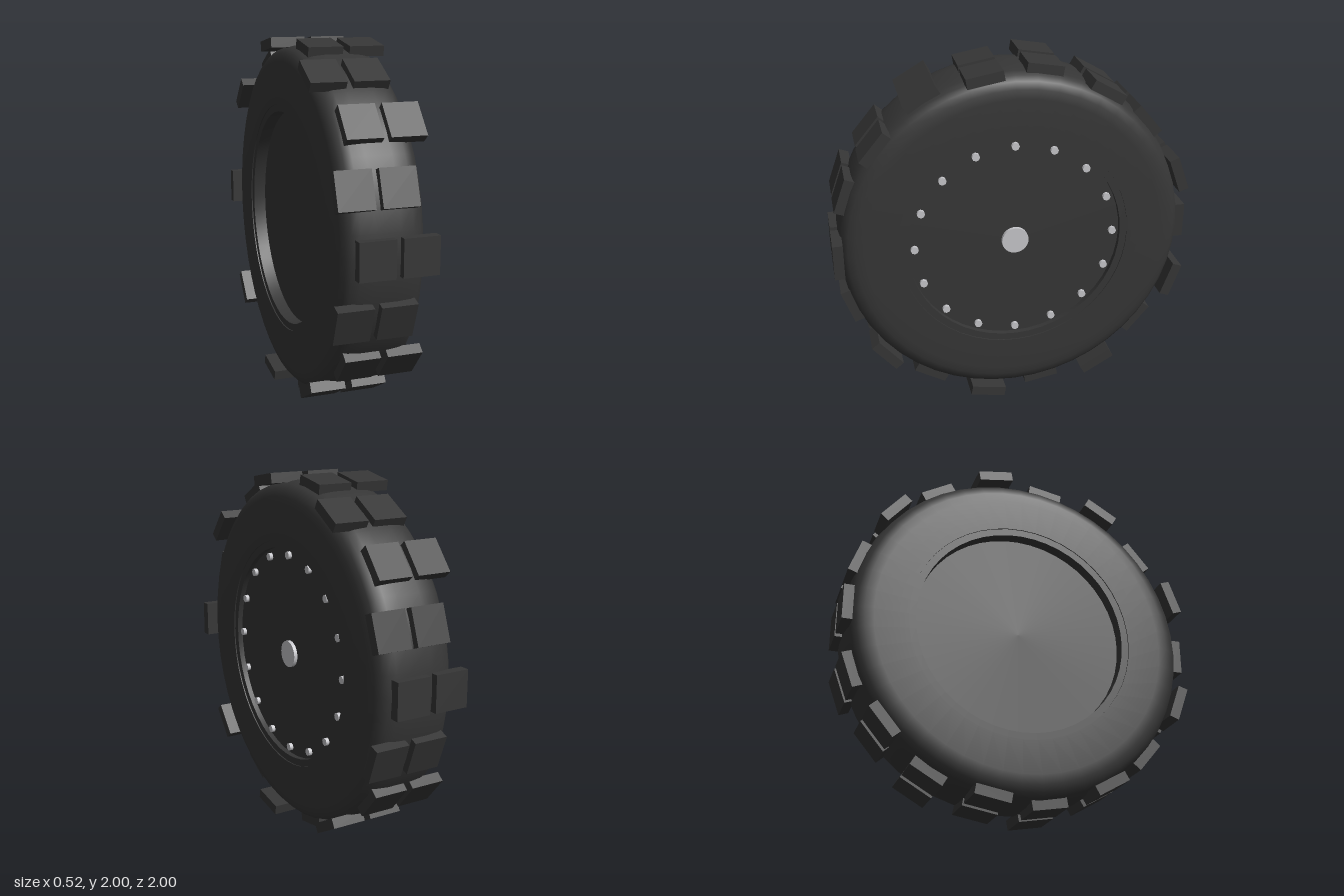
import * as THREE from 'three';
import { toCreasedNormals } from 'three/addons/utils/BufferGeometryUtils.js';

const rubber = new THREE.MeshStandardMaterial({ name: 'dark rubber', color: 0x363636 });
const metal = new THREE.MeshStandardMaterial({ name: 'light metal', color: 0xc6c6ca });

// Revolves [radius, x] points around the axle, keeping hard corners sharp
function revolve(name, points, material) {
  const lathe = new THREE.LatheGeometry(points.map(([r, x]) => new THREE.Vector2(r, x)), 48);
  lathe.rotateZ(-Math.PI / 2);
  const mesh = new THREE.Mesh(toCreasedNormals(lathe, 0.75), material);
  mesh.name = name;
  return mesh;
}

export function createModel() {
  const model = new THREE.Group();
  model.name = 'wheel';
  const wheel = new THREE.Group();
  wheel.name = 'wheelAssembly';
  wheel.position.y = 1;
  model.add(wheel);

  // Tyre carcass: flat sidewalls with rounded shoulders
  const half = [[0.64, 0.215], [0.64, 0.226], [0.83, 0.226], [0.88, 0.221], [0.92, 0.207],
    [0.945, 0.182], [0.958, 0.14], [0.965, 0.07]];
  const left = [...half].reverse();
  wheel.add(revolve('tyre', [...half.map(([r, x]) => [r, -x]), ...left], rubber));

  // Rim: shallow dish outside, deeper recess inside
  wheel.add(revolve('rim', [[0, -0.15], [0.6, -0.15], [0.6, -0.22], [0.645, -0.22]], rubber));
  wheel.add(revolve('hubPlate', [[0.645, 0.22], [0.6, 0.22], [0.6, 0.19], [0, 0.19]], rubber));

  // Tread: staggered pairs of blocks
  const blockGeometry = new THREE.BoxGeometry(0.195, 0.2, 0.056);
  for (let i = 0; i < 18; i++) {
    const row = new THREE.Group();
    row.name = 'treadRow';
    row.rotation.x = -i * Math.PI / 9;
    for (const x of i % 2 ? [-0.165, 0.067] : [-0.067, 0.165]) {
      const block = new THREE.Mesh(blockGeometry, rubber);
      block.name = 'treadBlock';
      block.position.set(x, 0, 0.972);
      row.add(block);
    }
    wheel.add(row);
  }

  // Ring of bolts
  const boltGeometry = new THREE.CylinderGeometry(0.022, 0.022, 0.04, 8).rotateZ(-Math.PI / 2);
  for (let i = 0; i < 16; i++) {
    const a = i * Math.PI / 8;
    const bolt = new THREE.Mesh(boltGeometry, metal);
    bolt.name = 'bolt';
    bolt.position.set(0.19, 0.56 * Math.sin(a), 0.56 * Math.cos(a));
    wheel.add(bolt);
  }

  // Axle cap
  const cap = new THREE.Mesh(new THREE.CylinderGeometry(0.075, 0.075, 0.04, 32).rotateZ(-Math.PI / 2), metal);
  cap.name = 'axleCap';
  cap.position.x = 0.19;
  wheel.add(cap);

  return model;
}
